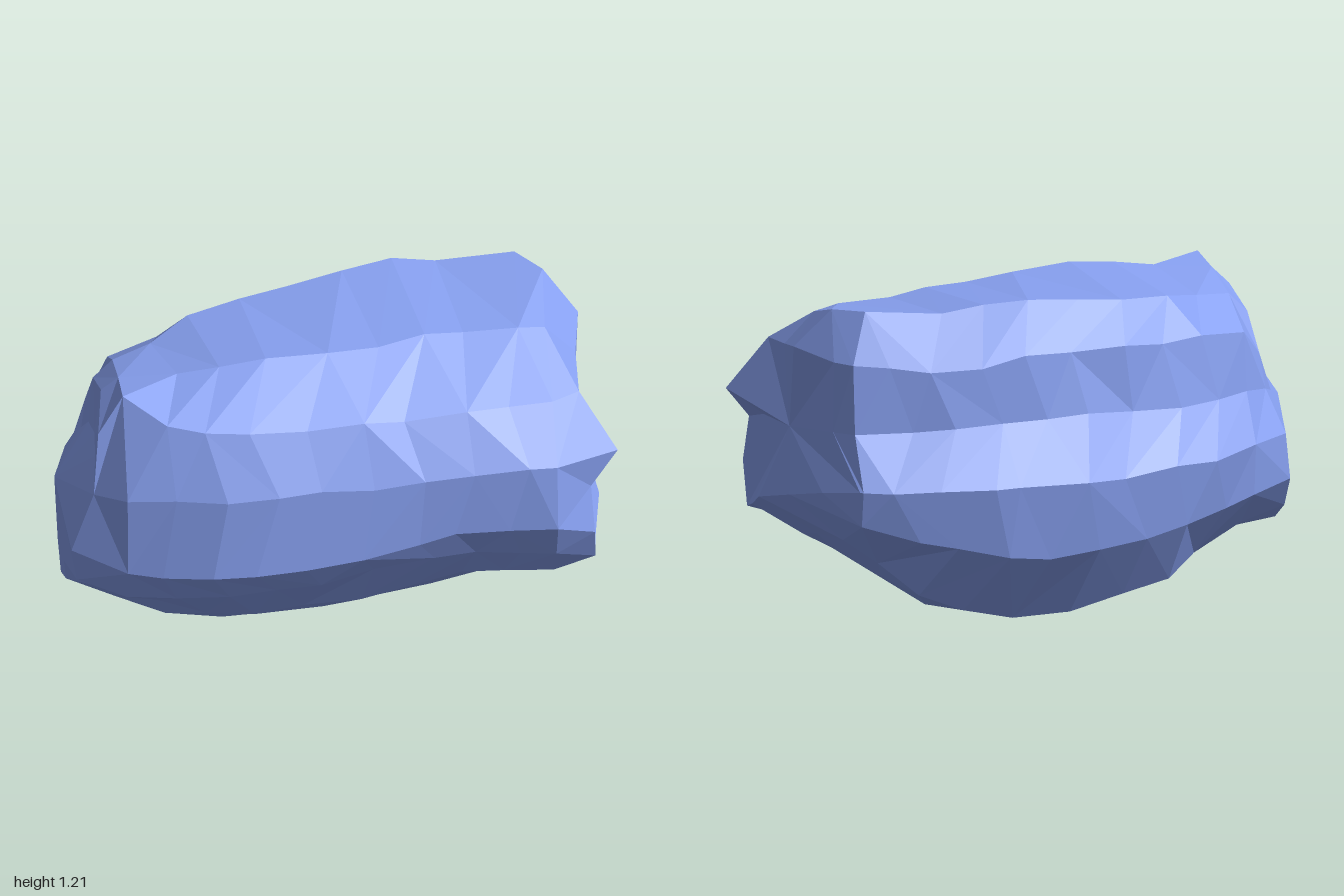
import * as THREE from 'three';

// Cross-sections as z, y pairs: from the underside, up the front, over the top, down the back
const leftEnd = [0, 0.21, 0.16, 0.17, 0.27, 0.26, 0.48, 0.37, 0.55, 0.51, 0.53, 0.8, 0.45, 1.08,
  0.2, 1.12, 0, 1.07, -0.18, 0.97, -0.21, 0.76, -0.32, 0.59, -0.3, 0.4, -0.14, 0.26];
const leftMid = [-0.02, 0.08, 0.24, 0.11, 0.35, 0.19, 0.54, 0.37, 0.61, 0.51, 0.59, 0.82, 0.5, 1.05,
  0.22, 1.16, -0.2, 1.14, -0.34, 1.0, -0.38, 0.77, -0.5, 0.57, -0.46, 0.33, -0.3, 0.12];
const middle = [-0.14, 0.01, 0.15, 0.09, 0.34, 0.22, 0.49, 0.4, 0.55, 0.52, 0.54, 0.8, 0.44, 1.01,
  0.17, 1.16, -0.3, 1.18, -0.43, 1.02, -0.47, 0.78, -0.6, 0.58, -0.57, 0.3, -0.38, 0.05];
const rightMid = [-0.2, 0.07, 0.12, 0.15, 0.33, 0.29, 0.43, 0.44, 0.49, 0.56, 0.48, 0.8, 0.37, 0.99,
  0.07, 1.15, -0.38, 1.19, -0.48, 1.0, -0.49, 0.78, -0.61, 0.58, -0.59, 0.35, -0.42, 0.12];
const rightEnd = [-0.02, 0.31, 0.15, 0.27, 0.33, 0.29, 0.43, 0.42, 0.49, 0.56, 0.46, 0.8, 0.3, 0.98,
  0.02, 1.12, -0.26, 1.19, -0.44, 1.03, -0.46, 0.78, -0.56, 0.59, -0.54, 0.46, -0.32, 0.36];

// Rims of the broken ends as x, y, z, in the same order as the sections
const leftRim = [-0.97, 0.22, 0.05, -0.96, 0.24, 0.13, -0.97, 0.33, 0.15, -0.95, 0.41, 0.41,
  -0.97, 0.54, 0.42, -0.89, 0.77, 0.42, -0.87, 1.0, 0.38, -0.84, 1.06, 0.18, -0.85, 1.0, 0,
  -0.87, 0.86, -0.08, -0.88, 0.74, -0.12, -0.93, 0.59, -0.2, -0.95, 0.42, -0.19, -0.97, 0.29, -0.06];
const rightRim = [0.96, 0.44, 0.07, 0.93, 0.37, 0.24, 0.92, 0.34, 0.33, 0.91, 0.49, 0.41,
  0.9, 0.66, 0.37, 1.0, 0.78, 0.33, 0.87, 0.98, 0.24, 0.88, 1.01, 0.02, 0.91, 1.05, -0.18,
  0.82, 1.03, -0.37, 0.82, 0.77, -0.36, 0.78, 0.59, -0.55, 0.86, 0.55, -0.36, 0.92, 0.5, -0.16];

// Corners that stick out or cut in: the nearest vertex is moved to each
const corners = [
  [0.89, 0.7, 0.23], [0.79, 1.195, -0.25], [0.7, 1.205, -0.36], [-0.78, 1.14, 0.36],
  [-0.87, 0.84, 0.27], [-0.86, 0.86, 0.15], [-0.87, 0.84, 0.04], [-0.89, 0.78, -0.02],
  [-0.48, 0.51, 0.62], [-0.05, 0, -0.16], [0.2, 0.58, -0.62],
];

const hash = (a, b) => {
  const s = Math.sin(a * 127.1 + b * 311.7) * 43758.5453;
  return s - Math.floor(s);
};

export function createModel() {
  const keys = [[-0.78, leftEnd], [-0.42, leftMid], [0, middle], [0.42, rightMid], [0.77, rightEnd]];
  const sides = leftEnd.length / 2;
  const steps = 9;

  // One smooth rail per section corner, running along the stone
  const rails = Array.from({ length: sides }, (_, j) =>
    new THREE.CatmullRomCurve3(keys.map(([x, s]) => new THREE.Vector3(x, s[2 * j + 1], s[2 * j]))));

  // Rings across the rails, staggered and jittered for irregular facets
  const rings = [];
  for (let i = 0; i <= steps; i++) {
    const inside = i > 0 && i < steps ? 1 : 0;
    rings.push(rails.map((rail, j) => {
      const p = rail.getPoint((i + inside * (j % 2 - 0.5) * 0.4) / steps);
      p.x += inside * (hash(i, j) - 0.5) * 0.06;
      p.y += inside * (hash(i + 20, j) - 0.5) * 0.025;
      p.z += inside * (hash(i + 40, j) - 0.5) * 0.025;
      return p;
    }));
  }

  // Rugged ends: the rim, then a smaller ring closer to the tip
  const leftTip = new THREE.Vector3(-1, 0.66, 0.11);
  const rightTip = new THREE.Vector3(0.88, 0.72, -0.04);
  const rimRing = (rim) =>
    Array.from({ length: sides }, (_, j) => new THREE.Vector3().fromArray(rim, j * 3));
  const innerRing = (ring, tip) => ring.map((p) => p.clone().lerp(tip, 0.42));
  const left = rimRing(leftRim), right = rimRing(rightRim);
  rings.unshift(innerRing(left, leftTip), left);
  rings.push(right, innerRing(right, rightTip));

  const points = rings.flat();
  const used = new Set([...left, ...right]);
  for (const corner of corners) {
    const target = new THREE.Vector3(...corner);
    const near = points.filter((p) => !used.has(p))
      .reduce((a, b) => (a.distanceToSquared(target) < b.distanceToSquared(target) ? a : b));
    near.copy(target);
    used.add(near);
  }
  points.forEach((p) => { p.y = Math.max(p.y, 0); });

  // Skin between the rings, with the facet diagonals varied
  const index = [];
  for (let i = 0; i < rings.length - 1; i++) {
    for (let j = 0; j < sides; j++) {
      const k = (j + 1) % sides;
      const a = i * sides + j, b = i * sides + k;
      const c = b + sides, d = a + sides;
      if (hash(i + 80, j) > 0.5) index.push(a, d, c, a, c, b);
      else index.push(a, d, b, d, c, b);
    }
  }

  // Close both ends
  const tip = points.length;
  const lastStart = tip - sides;
  points.push(leftTip, rightTip);
  for (let j = 0; j < sides; j++) {
    const k = (j + 1) % sides;
    index.push(tip, j, k, tip + 1, lastStart + k, lastStart + j);
  }

  const geometry = new THREE.BufferGeometry().setFromPoints(points);
  geometry.setIndex(index);
  geometry.computeVertexNormals();

  const rock = new THREE.Mesh(geometry, new THREE.MeshStandardMaterial({ color: 0x87a0f0, flatShading: true }));
  rock.name = 'rock';
  const group = new THREE.Group();
  group.name = 'boulder';
  group.add(rock);
  return group;
}
